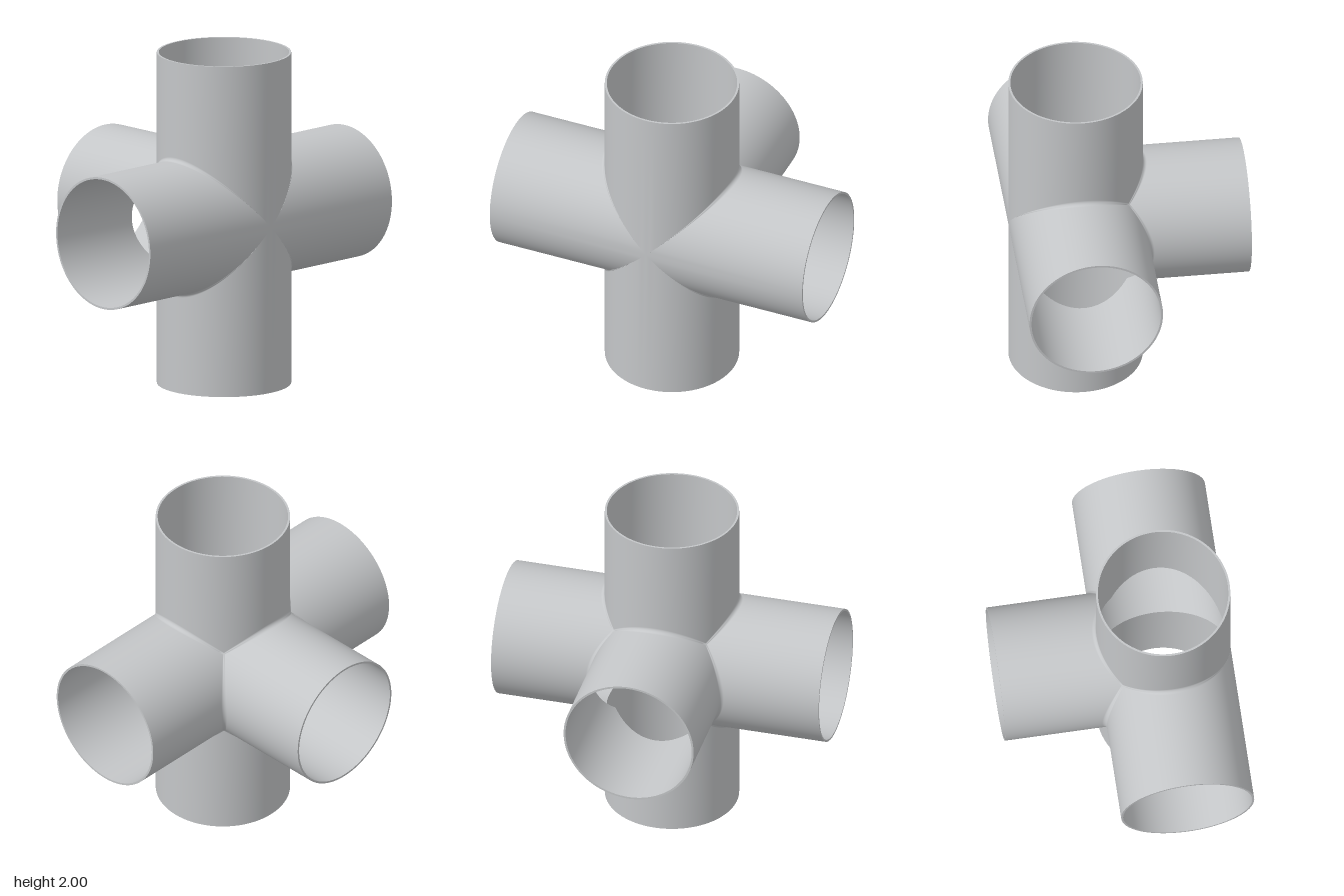
import * as THREE from 'three';
import { mergeGeometries, mergeVertices } from 'three/addons/utils/BufferGeometryUtils.js';

const R = 0.397;        // outer radius
const WALL = 0.012;     // pipe wall thickness
const LENGTH = 1;       // junction centre to open end
const FILLET = 0.025;   // weld rounding at the outer seams
const SEGMENTS = 96;    // multiple of 8, so the mitre corners fall on vertices

// Five arms: left, right, up, down and back
const ARMS = [[1, 0, 0], [-1, 0, 0], [0, 1, 0], [0, -1, 0], [0, 0, -1]]
  .map((a) => new THREE.Vector3(...a));
const NAMES = ['left', 'right', 'top', 'bottom', 'back'];

// Grid around an arm; rows(w) lists [radius, distance along axis] pairs for
// a direction whose closeness to the nearest neighbouring arm is w (0 to 1)
function armSurface(axis, rows) {
  const u = new THREE.Vector3(axis.y, axis.z, axis.x);
  const v = new THREE.Vector3().crossVectors(axis, u);
  const positions = [];
  const index = [];
  let count = 0;
  for (let i = 0; i < SEGMENTS; i++) {
    const angle = (i / SEGMENTS) * Math.PI * 2;
    const dir = u.clone().multiplyScalar(Math.cos(angle)).addScaledVector(v, Math.sin(angle));
    const w = Math.max(...ARMS.map((e) => e.dot(dir)), 0);
    const column = rows(w);
    count = column.length;
    for (const [radius, t] of column) {
      const p = dir.clone().multiplyScalar(radius).addScaledVector(axis, t);
      positions.push(p.x, p.y, p.z);
    }
  }
  for (let i = 0; i < SEGMENTS; i++) {
    for (let k = 0; k < count - 1; k++) {
      const a = i * count + k;
      const b = ((i + 1) % SEGMENTS) * count + k;
      index.push(a, b, b + 1, a, b + 1, a + 1);
    }
  }
  const geometry = new THREE.BufferGeometry();
  geometry.setAttribute('position', new THREE.Float32BufferAttribute(positions, 3));
  geometry.setIndex(index);
  return geometry;
}

// Outer skin: rounded flare at the mitre, then straight to the open end
function outerRows(w) {
  const rows = [];
  const g = FILLET * w;
  for (let k = 0; k <= 6; k++) {
    const phi = (Math.PI / 4) * (1 - k / 6);
    rows.push([
      R + g * (1 - Math.cos(phi)) * w,
      R * w + g * (1 - Math.sin(phi)) * w * w,
    ]);
  }
  rows.push([R, LENGTH]);
  return rows;
}

// Bore: runs from the open end back to a sharp mitre
const boreRows = (w) => [[R - WALL, LENGTH], [R - WALL, (R - WALL) * w]];
const rimRows = () => [[R, LENGTH], [R - WALL, LENGTH]];

export function createModel() {
  const group = new THREE.Group();
  group.name = 'pipeJunction';
  const steel = new THREE.MeshStandardMaterial({ color: 0xc4c6c8 });
  steel.name = 'light grey steel';

  const add = (geometry, name) => {
    geometry.computeVertexNormals();
    const mesh = new THREE.Mesh(geometry, steel);
    mesh.name = name;
    // Centre the depth: the front is only the pipe wall, the back a whole arm
    mesh.position.set(0, LENGTH, (LENGTH - R) / 2);
    group.add(mesh);
  };

  // One welded outer skin, so shading flows across the seams
  const skins = ARMS.map((axis) => armSurface(axis, outerRows));
  add(mergeVertices(mergeGeometries(skins), 1e-4), 'outerPipeSkin');

  // Bores and end rims, one per arm
  ARMS.forEach((axis, i) => {
    add(armSurface(axis, boreRows), NAMES[i] + 'Bore');
    add(armSurface(axis, rimRows), NAMES[i] + 'Rim');
  });
  return group;
}
